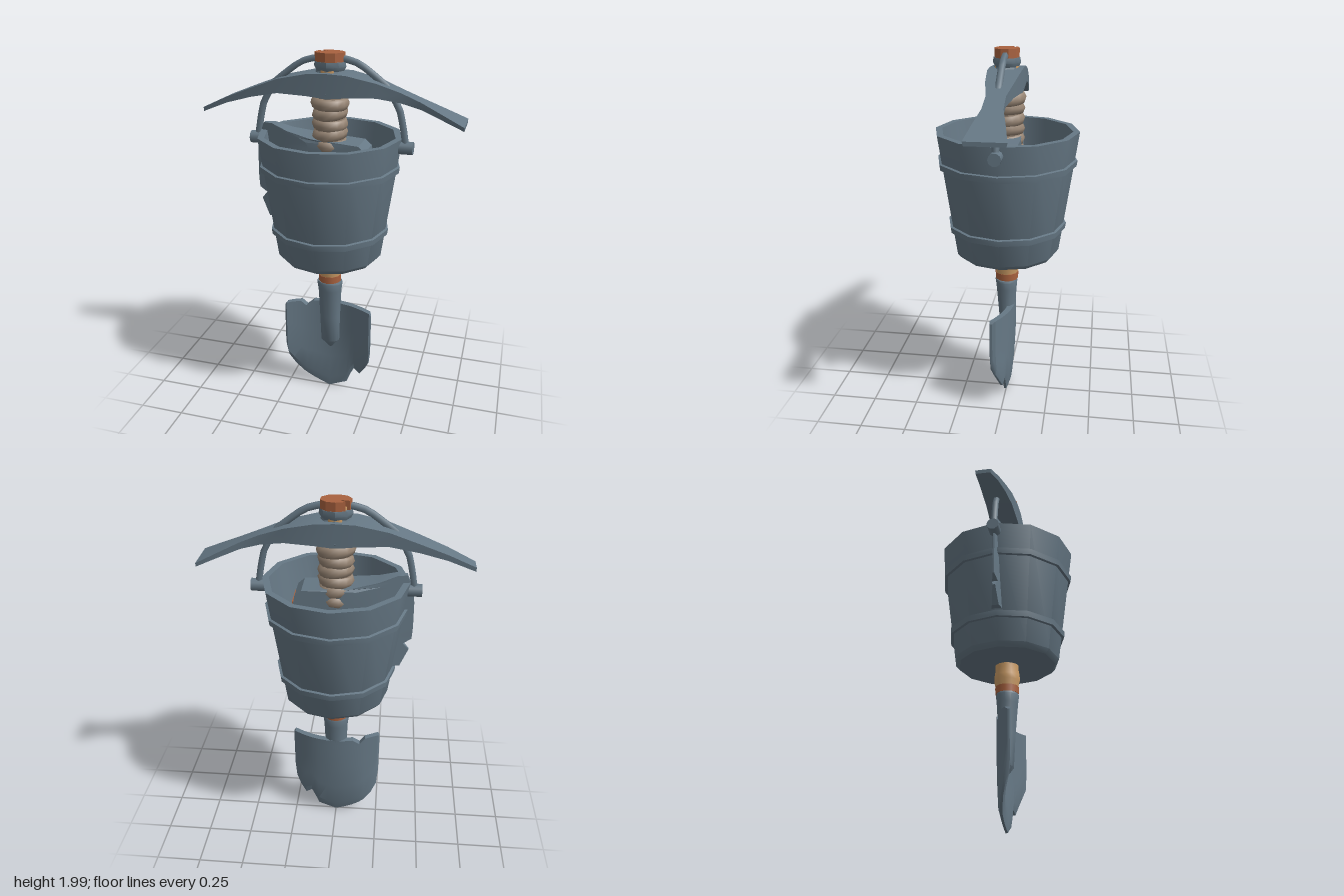
import * as THREE from 'three';
import { toCreasedNormals } from 'three/addons/utils/BufferGeometryUtils.js';

const material = (name, color) => {
  const m = new THREE.MeshStandardMaterial({ color });
  m.name = name;
  return m;
};

// Turns a closed geometry outward and gives it creased normals.
function finish(geo, crease = 0.6) {
  const g = geo.index ? geo.toNonIndexed() : geo;
  const p = g.attributes.position;
  const [a, b, c] = [0, 1, 2].map(() => new THREE.Vector3());
  let volume = 0;
  for (let i = 0; i < p.count; i += 3) {
    [a, b, c].forEach((v, k) => v.fromBufferAttribute(p, i + k));
    volume += a.dot(b.clone().cross(c));
  }
  if (volume < 0) {
    for (let i = 0; i < p.count; i += 3) {
      b.fromBufferAttribute(p, i + 1);
      c.fromBufferAttribute(p, i + 2);
      p.setXYZ(i + 1, c.x, c.y, c.z);
      p.setXYZ(i + 2, b.x, b.y, b.z);
    }
  }
  return toCreasedNormals(g, crease);
}

// Solid through a row of equal-length rings of [x, y, z], capped at both ends.
function loft(rings, crease) {
  const n = rings[0].length, out = [];
  const tri = (...pts) => pts.forEach((q) => out.push(...q));
  for (let r = 0; r < rings.length - 1; r++) {
    for (let i = 0; i < n; i++) {
      const j = (i + 1) % n, A = rings[r], B = rings[r + 1];
      tri(A[i], A[j], B[j]);
      tri(A[i], B[j], B[i]);
    }
  }
  const cap = (ring, flip) => {
    const mid = [0, 1, 2].map((k) => ring.reduce((s, q) => s + q[k], 0) / n);
    ring.forEach((q, i) => {
      const next = ring[(i + 1) % n];
      if (flip) tri(mid, next, q); else tri(mid, q, next);
    });
  };
  cap(rings[0], true);
  cap(rings[rings.length - 1], false);
  const g = new THREE.BufferGeometry();
  g.setAttribute('position', new THREE.Float32BufferAttribute(out, 3));
  return finish(g, crease);
}

const lathe = (pts, sides) =>
  finish(new THREE.LatheGeometry(pts.map(([x, y]) => new THREE.Vector2(x, y)), sides), 0.7);

export function createModel() {
  const model = new THREE.Group();
  model.name = 'toolBundle';
  const steel = material('steel', 0x667885);
  const wood = material('wood', 0xcb9c66);
  const rust = material('rust', 0xa9623f);
  const wrap = material('wrap', 0x978574);
  const add = (name, geo, mat, x = 0, y = 0, z = 0) => {
    const m = new THREE.Mesh(geo, mat);
    m.name = name;
    m.position.set(x, y, z);
    model.add(m);
    return m;
  };

  // Bucket with two hoops
  add('bucket', lathe([[0, 0.9], [0.265, 0.9], [0.287, 0.925], [0.38, 1.585],
    [0.345, 1.585], [0.255, 0.95], [0, 0.95]], 12), steel);
  for (const y of [1.07, 1.42]) {
    const r = 0.287 + (y - 0.925) * 0.141;
    add('hoop', lathe([[r - 0.012, y - 0.02], [r + 0.012, y - 0.017], [r + 0.016, y + 0.014],
      [r - 0.008, y + 0.02], [r - 0.012, y - 0.02]], 12), steel);
  }

  // Bail handle and its pegs
  const half = [[0.4, 1.54], [0.382, 1.64], [0.36, 1.73], [0.295, 1.84], [0.155, 1.945]];
  const path = new THREE.CurvePath();
  const bail = [...half.map(([x, y]) => [-x, y]), [-0.06, 1.972], [0.06, 1.972], ...half.slice().reverse()]
    .map(([x, y]) => new THREE.Vector3(x, y, 0));
  path.add(new THREE.CatmullRomCurve3(bail, false, 'catmullrom', 0.2));
  add('bail', new THREE.TubeGeometry(path, 28, 0.018, 6), steel);
  for (const s of [-1, 1]) {
    const peg = add('bailPeg', new THREE.CylinderGeometry(0.033, 0.033, 0.08, 10), steel, s * 0.397, 1.54);
    peg.rotation.z = Math.PI / 2;
  }

  // Pole, wrapped grip and lower wood
  add('pole', lathe([[0, 0.74], [0.062, 0.74], [0.062, 0.775], [0.07, 0.81], [0.07, 0.84],
    [0.063, 0.88], [0.067, 0.92], [0.062, 1.97], [0, 1.97]], 12), wood);
  add('rustRing', new THREE.CylinderGeometry(0.065, 0.064, 0.04, 12), rust, 0, 0.757);
  add('gripCore', new THREE.CylinderGeometry(0.078, 0.078, 0.36, 12), wrap, 0, 1.63);
  for (let i = 0; i < 6; i++) {
    const ring = add('gripWrap', new THREE.TorusGeometry(i ? 0.06 : 0.066, 0.035, 8, 14), wrap, 0, 1.75 - i * 0.053);
    ring.rotation.set(Math.PI / 2 + 0.06, i % 2 ? 0.1 : -0.07, 0);
  }

  // Pole end with a split
  const top = new THREE.Shape();
  for (let i = 0; i <= 9; i++) {
    const a = 2.65 + (i / 9) * (Math.PI * 2 - 0.4);
    const x = 0.078 * Math.cos(a), y = 0.064 * Math.sin(a);
    if (i) top.lineTo(x, y); else top.moveTo(x, y);
  }
  top.lineTo(-0.02, 0.02);
  const end = add('poleEnd', new THREE.ExtrudeGeometry(top, { depth: 0.045, bevelEnabled: false }), rust, 0, 1.955);
  end.rotation.x = -Math.PI / 2;

  // Pick head: pointed side, adze side and collar; x, bottom, top, half width
  const pick = [[-0.69, 1.668, 1.69, 0.04], [-0.55, 1.725, 1.755, 0.055], [-0.41, 1.765, 1.81, 0.067],
    [-0.26, 1.795, 1.866, 0.077], [-0.1, 1.79, 1.9, 0.085], [0, 1.78, 1.905, 0.087], [0.1, 1.79, 1.9, 0.085],
    [0.25, 1.795, 1.868, 0.07], [0.37, 1.775, 1.825, 0.047], [0.47, 1.75, 1.785, 0.05],
    [0.58, 1.71, 1.737, 0.075], [0.69, 1.668, 1.688, 0.098]];
  add('pickHead', loft(pick.map(([x, b, t, w]) =>
    [[x, b, w * 0.95], [x, t, w], [x, t, -w], [x, b, -w * 0.95]]), 0.5), steel);
  add('pickCollar', lathe([[0, 1.77], [0.075, 1.77], [0.1, 1.8], [0.08, 1.89], [0.073, 1.91],
    [0.084, 1.93], [0.08, 1.955], [0, 1.955]], 8), steel).scale.z = 0.85;

  // Axe head reaching through the bucket wall; y, cutting edge x, poll x
  const axe = [[1.1, -0.344, -0.3], [1.197, -0.388, -0.2], [1.235, -0.355, -0.1], [1.26, -0.4, 0.1],
    [1.29, -0.402, 0.2], [1.33, -0.404, 0.215], [1.47, -0.402, 0.215], [1.52, -0.395, 0.205],
    [1.55, -0.386, 0.17], [1.57, -0.38, -0.08], [1.595, -0.372, -0.22], [1.625, -0.36, -0.31]];
  const axeHalf = (x) => Math.min(0.08, 0.004 + Math.max(0, x + 0.4) * 0.25);
  add('axeHead', loft(axe.map(([y, l, r]) => {
    const xs = [0, 0.25, 0.5, 0.75, 1].map((t) => l + (r - l) * t);
    const side = xs.map((x) => [x, y, axeHalf(x)]);
    return [...side, ...side.map(([x, , z]) => [x, y, -z]).reverse()];
  }), 0.5), steel);
  add('axePollRust', new THREE.BoxGeometry(0.008, 0.17, 0.14), rust, 0.216, 1.4);

  // Hammer head inside the bucket, waisted octagonal section
  add('hammerHead', loft([[-0.215, 1], [-0.11, 0.9], [0, 0.87], [0.11, 0.9], [0.215, 1]].map(([x, s]) =>
    [...Array(8).keys()].map((i) => {
      const a = (i + 0.5) * Math.PI / 4;
      return [x, 1.13 + 0.162 * s * Math.sin(a), 0.162 * s * Math.cos(a)];
    })), 0.4), steel);

  // Shovel blade: x, bottom, top of each column, with nicks in the rim
  const blade = [[-0.255, 0.31, 0.565], [-0.245, 0.21, 0.578], [-0.215, 0.15, 0.58], [-0.17, 0.095, 0.58],
    [-0.14, 0.072, 0.547], [-0.1, 0.05, 0.58], [-0.05, 0.028, 0.58], [0, 0.01, 0.58], [0.05, 0.032, 0.58],
    [0.105, 0.055, 0.58], [0.13, 0.12, 0.58], [0.15, 0.16, 0.58], [0.185, 0.13, 0.58],
    [0.22, 0.185, 0.58], [0.245, 0.24, 0.58], [0.255, 0.32, 0.565]];
  const dish = (x, y) => Math.min(1, y / 0.3) * (-0.032 + 0.085 * (x / 0.255) ** 2);
  add('shovelBlade', loft(blade.map(([x, b, t]) => {
    const face = (s) => [0, 0.1, 0.35, 0.65, 0.93, 1].map((k) => {
      const y = b + (t - b) * k;
      const rim = k === 0 || Math.abs(x) > 0.25 ? 0.006 : 0.017;
      return [x, y, dish(x, y) + s * rim];
    });
    return [...face(1), ...face(-1).reverse()];
  }), 0.5), steel);

  // Shovel socket tapering to a point on the blade; y, radius, z offset
  const socket = [[0.275, 0.004, -0.015], [0.34, 0.055, -0.005], [0.5, 0.06, 0], [0.68, 0.068, 0.002],
    [0.725, 0.074, 0.003], [0.735, 0.07, 0.003]];
  add('shovelSocket', loft(socket.map(([y, r, z]) => [...Array(12).keys()].map((i) => {
    const a = i * Math.PI / 6;
    return [r * Math.cos(a), y, z + r * (y < 0.6 ? 0.75 : 0.85) * Math.sin(a)];
  })), 0.7), steel);

  return model;
}
